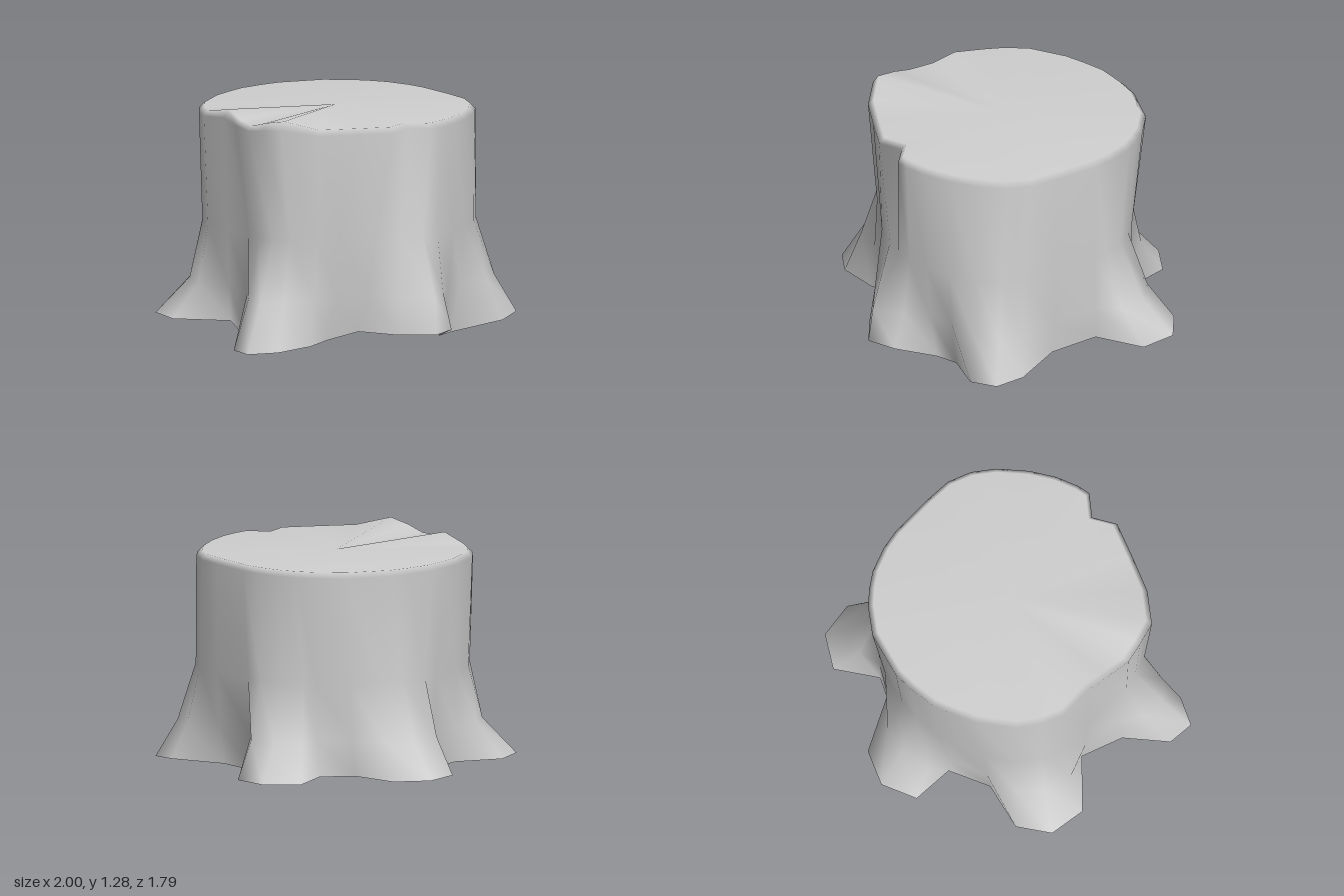
import * as THREE from 'three';

// Foot outline [x, y, z]: six flared roots with valleys between them, from the left side round to the front
const foot = [
  [0.92, 0.08, -0.02], [0.995, 0.07, 0.13], [0.9, 0.05, 0.27], [0.6, 0, 0.33], [0.52, 0, 0.43],
  [0.56, 0.08, 0.67], [0.46, 0.08, 0.81], [0.24, 0.08, 0.79], [0.04, 0.08, 0.66], [-0.13, 0.03, 0.63],
  [-0.24, 0.02, 0.75], [-0.44, 0.015, 0.885], [-0.61, 0.01, 0.89], [-0.67, 0.01, 0.75], [-0.57, 0.03, 0.5],
  [-0.62, 0.08, 0.25], [-0.93, 0.08, 0.15], [-1, 0.08, -0.05], [-0.9, 0.08, -0.23], [-0.63, 0.08, -0.29],
  [-0.47, 0.08, -0.48], [-0.57, 0.08, -0.7], [-0.43, 0.08, -0.86], [-0.22, 0.08, -0.87], [-0.03, 0.08, -0.67],
  [0.17, 0.08, -0.67], [0.3, 0.08, -0.9], [0.51, 0.08, -0.88], [0.63, 0.08, -0.71], [0.5, 0.08, -0.45],
  [0.65, 0.08, -0.2],
];

// Rim outline [x, z], column for column with the foot
const rim = [
  [0.76, -0.08], [0.775, 0.06], [0.75, 0.2], [0.68, 0.37], [0.6, 0.5],
  [0.51, 0.6], [0.45, 0.645], [0.36, 0.68], [0.23, 0.735], [0.02, 0.755],
  [-0.2, 0.77], [-0.4, 0.73], [-0.49, 0.63], [-0.56, 0.54], [-0.61, 0.4],
  [-0.66, 0.27], [-0.75, 0.1], [-0.76, -0.03], [-0.74, -0.17], [-0.64, -0.37],
  [-0.56, -0.47], [-0.47, -0.57], [-0.33, -0.66], [-0.23, -0.71], [0.03, -0.76],
  [0.2, -0.73], [0.3, -0.69], [0.39, -0.64], [0.5, -0.54], [0.57, -0.45],
  [0.69, -0.23],
];

// How far each column has spread from waist to foot at the flare ring
const spread = [
  0.45, 0.45, 0.45, 0.3, 0.3, 0.4, 0.85, 0.75, 0.4, 0.4, 0.45, 0.5, 0.5, 0.4, 0.35, 0.35,
  0.27, 0.27, 0.27, 0.35, 0.35, 0.42, 0.42, 0.42, 0.35, 0.35, 0.42, 0.42, 0.42, 0.35, 0.35,
];

// Raised spots on the cut edge, by column
const bump = { 11: 0.045, 12: 0.02, 13: -0.01, 15: 0.037 };

// Split in the wood, cut in from the rim at one column and running out at the waist
const splitColumn = 7, splitPoint = [0.31, 0.615];
const cutRim = rim.map((p, i) => (i === splitColumn ? splitPoint : p));

function stumpGeometry() {
  const n = foot.length;
  const waist = rim.map(([x, z], i) => {
    // Direction between the rim point and the root below it
    const d = new THREE.Vector2(foot[i][0], foot[i][2]).setLength(1.3)
      .add(new THREE.Vector2(x, z).normalize()).normalize();
    const r = Math.hypot(x, z) * (0.925 + 0.065 * d.x * d.x);
    return [0.01 + r * d.x, 0.6, 0.01 + r * d.y];
  });
  const flare = waist.map(([x, , z], i) => [
    x + spread[i] * (foot[i][0] - x), 0.28, z + spread[i] * (foot[i][2] - z),
  ]);
  const edge = cutRim.map(([x, z], i) => [x, 1.21 + 0.6 * (bump[i] || 0), z]);
  const bevel = cutRim.map(([x, z], i) => [x * 0.96, 1.24 + (bump[i] || 0), z * 0.96]);
  const rings = [foot, flare, waist, edge, bevel];

  // Bark: quads between neighbouring rings
  const index = [];
  for (let r = 0; r < rings.length - 1; r++) {
    for (let i = 0; i < n; i++) {
      const j = (i + 1) % n;
      const a = r * n + i, b = r * n + j, c = a + n, d = b + n;
      index.push(a, c, d, a, d, b);
    }
  }
  // Cut top: fan around the centre
  const top = (rings.length - 1) * n, centre = rings.length * n;
  for (let i = 0; i < n; i++) index.push(centre, top + (i + 1) % n, top + i);

  const points = [...rings.flat(), [0, 1.24, 0]];
  const geometry = new THREE.BufferGeometry();
  geometry.setAttribute('position', new THREE.Float32BufferAttribute(points.flat(), 3));
  geometry.setIndex(index);
  geometry.computeVertexNormals();
  return geometry;
}

export function createModel() {
  const group = new THREE.Group();
  group.name = 'treeStump';
  // Open underneath, so the inside shows too
  const material = new THREE.MeshStandardMaterial({ color: 0xd0d0d0, side: THREE.DoubleSide });
  material.name = 'paleGrey';
  const stump = new THREE.Mesh(stumpGeometry(), material);
  stump.name = 'trunkWithRoots';
  group.add(stump);
  return group;
}
